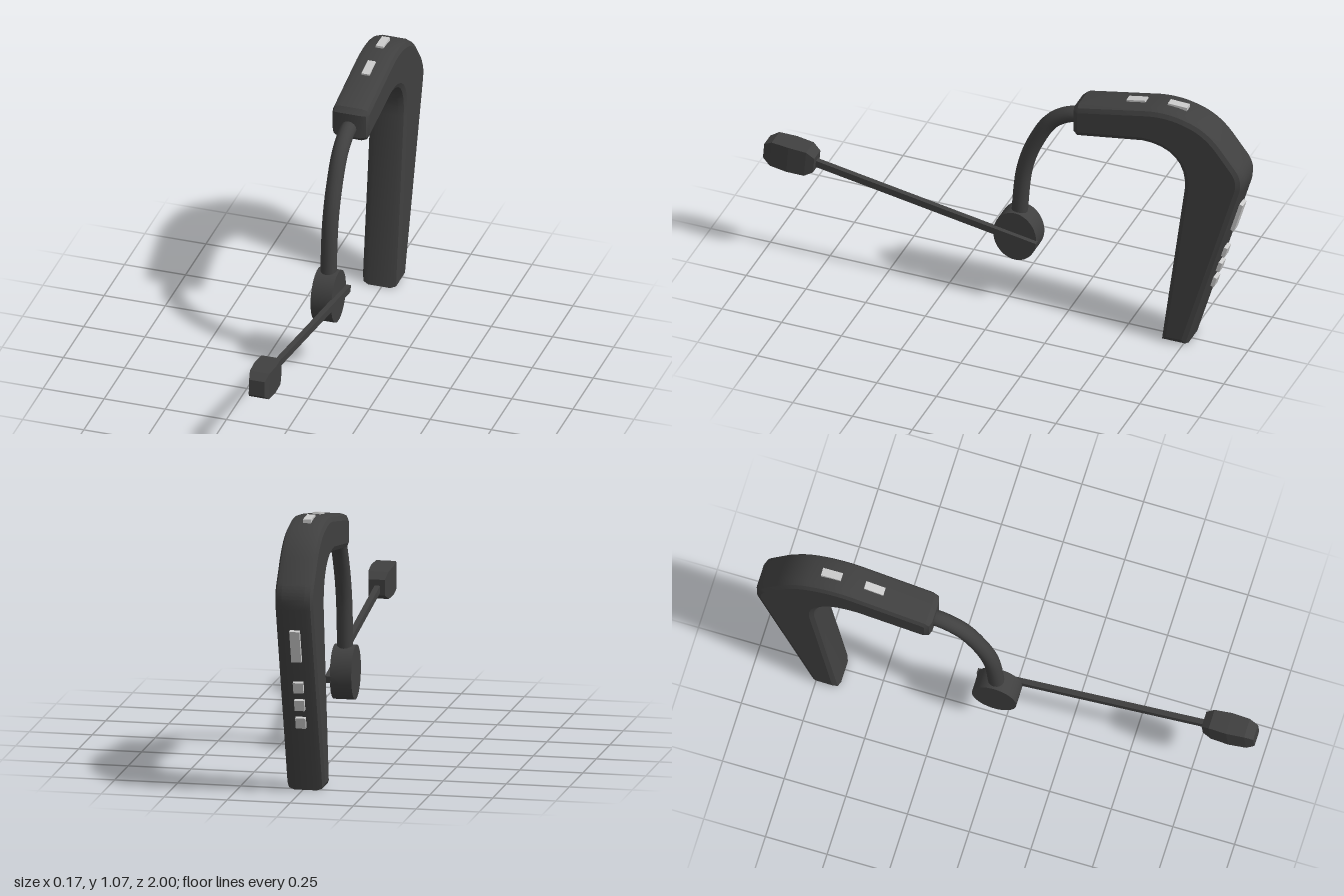
import * as THREE from 'three';
import { toCreasedNormals } from 'three/addons/utils/BufferGeometryUtils.js';

const dark = new THREE.MeshStandardMaterial({ color: 0x404040 });
const darkFlat = new THREE.MeshStandardMaterial({ color: 0x404040, flatShading: true });
const grey = new THREE.MeshStandardMaterial({ color: 0xcccccc });

const MID = -0.012; // x of the body's middle plane

function add(group, name, geometry, material, position = [0, 0, 0], tilt = 0) {
  const mesh = new THREE.Mesh(geometry, material);
  mesh.name = name;
  mesh.position.set(...position);
  mesh.rotation.x = tilt;
  group.add(mesh);
  return mesh;
}

// Hooked body: side profile (u = -z, v = y) extruded across x with rounded rims
function bodyGeometry() {
  const s = new THREE.Shape();
  s.moveTo(0.655, 0);
  s.lineTo(0.765, 0);
  s.lineTo(0.992, 0.765);
  s.quadraticCurveTo(1.008, 0.825, 0.975, 0.87);
  s.lineTo(0.91, 0.955);
  s.quadraticCurveTo(0.85, 1.03, 0.77, 1.05);
  s.quadraticCurveTo(0.69, 1.075, 0.6, 1.06);
  s.lineTo(0.305, 1.0);
  s.lineTo(0.285, 0.98);
  s.lineTo(0.285, 0.88);
  s.lineTo(0.305, 0.86);
  s.lineTo(0.58, 0.905);
  s.bezierCurveTo(0.69, 0.91, 0.765, 0.85, 0.75, 0.72);
  s.closePath();
  const g = new THREE.ExtrudeGeometry(s, {
    depth: 0.09, curveSegments: 8,
    bevelThickness: 0.03, bevelSize: 0.025, bevelOffset: -0.025, bevelSegments: 2,
  });
  g.rotateY(Math.PI / 2);
  g.translate(-0.055, 0, 0);
  return toCreasedNormals(g, 0.35);
}

// Barrel-shaped microphone: a box whose stations along z swell in the middle
function microphoneGeometry() {
  const g = new THREE.BoxGeometry(2, 2, 4, 1, 1, 4);
  const stations = [[0.032, 0.032, -0.105], [0.04, 0.055, -0.072], [0.045, 0.057, 0],
    [0.04, 0.055, 0.072], [0.032, 0.032, 0.105]];
  const p = g.attributes.position;
  for (let i = 0; i < p.count; i++) {
    const [w, h, z] = stations[Math.round(p.getZ(i)) + 2];
    p.setXYZ(i, p.getX(i) * w, p.getY(i) * h, z);
  }
  g.computeVertexNormals();
  return g;
}

export function createModel() {
  const model = new THREE.Group();
  model.name = 'headset';

  add(model, 'earHookBody', bodyGeometry(), dark);

  // Curved neck from the body's front end down to the pivot
  const path = new THREE.CatmullRomCurve3(
    [[0.91, -0.32], [0.915, -0.27], [0.865, -0.18], [0.745, -0.105], [0.61, -0.06], [0.42, -0.04], [0.36, -0.037]]
      .map(([y, z]) => new THREE.Vector3(MID, y, z)));
  add(model, 'neckTube', new THREE.TubeGeometry(path, 40, 0.032, 16), dark);

  // Oval pivot disc
  const disc = new THREE.CylinderGeometry(1, 1, 0.085, 40);
  disc.rotateZ(Math.PI / 2);
  disc.scale(1, 0.108, 0.09);
  add(model, 'pivotDisc', disc, dark, [MID, 0.308, -0.035]);

  // Thin boom with the microphone at its end
  add(model, 'boom', new THREE.BoxGeometry(0.022, 0.028, 0.96), dark, [0.038, 0.374, 0.345], -0.167);
  add(model, 'microphone', microphoneGeometry(), darkFlat, [0.04, 0.464, 0.895], -0.08);

  // Buttons on the top
  for (const [y, z, tilt] of [[1.043, -0.533, 0.2], [1.062, -0.705, -0.03]]) {
    add(model, 'topButton', new THREE.BoxGeometry(0.032, 0.022, 0.08), grey, [MID, y, z], tilt);
  }

  // Long switch and three small buttons down the back edge
  for (const [y, length] of [[0.615, 0.135], [0.44, 0.045], [0.365, 0.045], [0.29, 0.045]]) {
    add(model, length > 0.1 ? 'backSwitch' : 'backButton',
      new THREE.BoxGeometry(0.04, length, 0.026), grey, [MID, y, -0.767 - 0.297 * y], -0.29);
  }

  return model;
}
